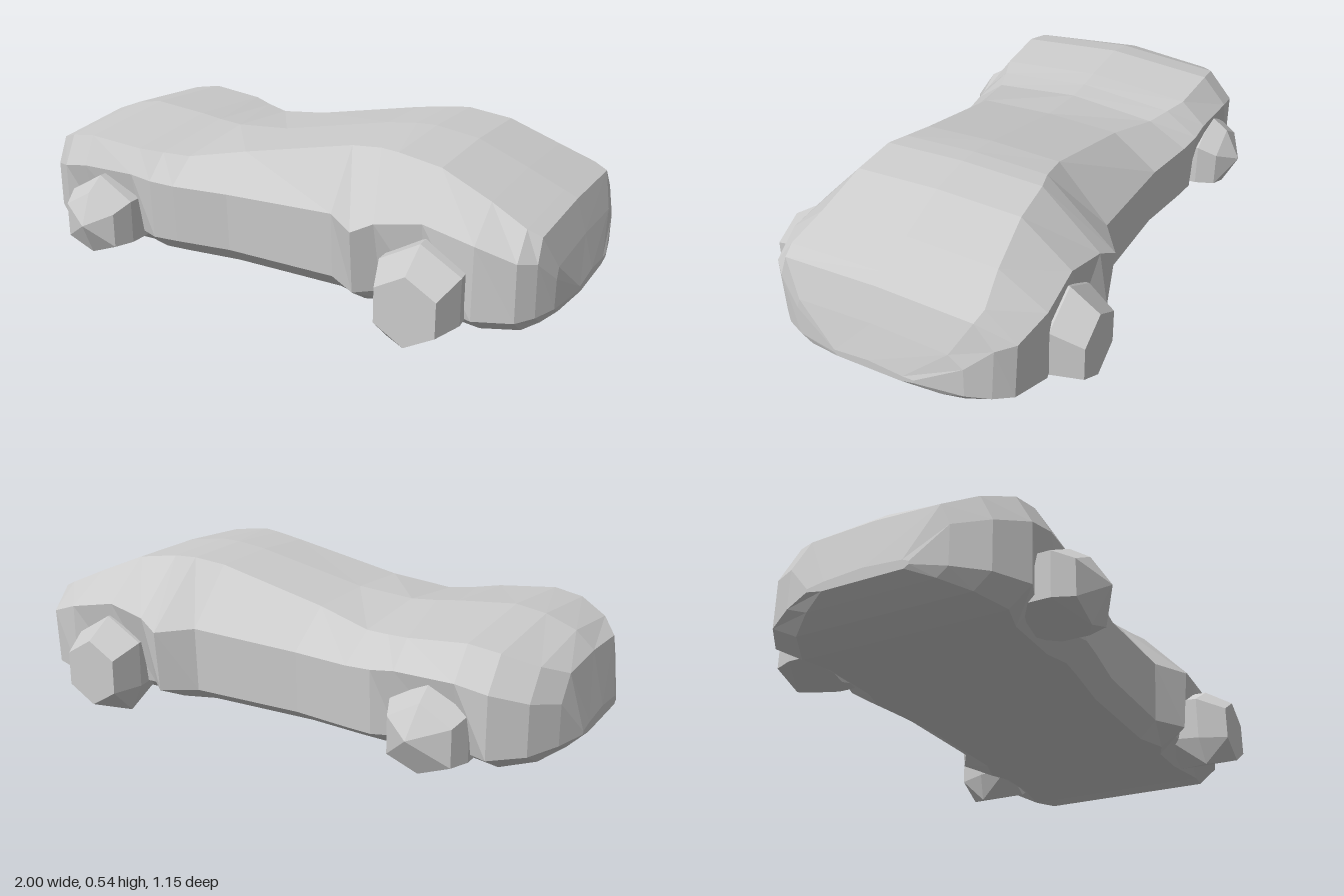
import * as THREE from 'three';
import { ConvexGeometry } from 'three/addons/geometries/ConvexGeometry.js';

const material = new THREE.MeshStandardMaterial({ color: 0xcccccc, flatShading: true });

// Body stations: x, sill half width, belt half width, belt height,
// shoulder half width, top height
const STATIONS = [
  [-1.0, 0.17, 0.17, 0.14, 0.13, 0.16],
  [-0.96, 0.27, 0.27, 0.25, 0.22, 0.335],
  [-0.9, 0.37, 0.37, 0.27, 0.31, 0.39],
  [-0.8, 0.44, 0.44, 0.3, 0.37, 0.43],
  [-0.7, 0.4, 0.45, 0.32, 0.38, 0.447],
  [-0.5, 0.4, 0.44, 0.32, 0.37, 0.43],
  [-0.42, 0.43, 0.44, 0.31, 0.34, 0.42],
  [-0.33, 0.42, 0.43, 0.305, 0.31, 0.413],
  [-0.13, 0.39, 0.4, 0.305, 0.26, 0.43],
  [0.27, 0.39, 0.4, 0.32, 0.245, 0.517],
  [0.38, 0.46, 0.48, 0.31, 0.26, 0.532],
  [0.45, 0.4, 0.46, 0.345, 0.28, 0.535],
  [0.6, 0.4, 0.44, 0.37, 0.29, 0.515],
  [0.77, 0.45, 0.45, 0.34, 0.31, 0.447],
  [0.89, 0.41, 0.42, 0.3, 0.335, 0.395],
  [0.935, 0.36, 0.37, 0.29, 0.325, 0.375],
  [0.97, 0.29, 0.29, 0.22, 0.26, 0.265],
  [1.0, 0.14, 0.14, 0.14, 0.12, 0.15],
];

// Full ring of a station: the underside curls up towards both tips, the top is
// rounder at the low end, and sill and belt sit further out on the back side
function ring([x, sillW, beltW, beltY, topW, topY]) {
  const tip = Math.max(0, (Math.abs(x) - 0.8) / 0.2) ** 2;
  const floorY = 0.04 + 0.08 * tip;
  const sillY = 0.1 + 0.03 * tip;
  const floorW = Math.min(sillW * 0.8, 0.35);
  const topEdge = topY - (x < -0.3 && x > -0.95 ? 0.03 : 0.01);
  const shift = -0.018;
  const v = (y, z) => new THREE.Vector3(x, y, z);
  return [
    v(floorY, 0), v(floorY, floorW), v(sillY, sillW + shift), v(beltY, beltW + shift),
    v(topEdge, topW), v(topY, 0), v(topEdge, -topW),
    v(beltY, -beltW + shift), v(sillY, -sillW + shift), v(floorY, -floorW),
  ];
}

function loft(rings) {
  const pts = [];
  const n = rings[0].length;
  for (let i = 0; i < rings.length - 1; i++) {
    for (let j = 0; j < n; j++) {
      const k = (j + 1) % n;
      const a = rings[i][j], b = rings[i][k], c = rings[i + 1][j], d = rings[i + 1][k];
      pts.push(a, c, b, b, c, d);
    }
  }
  // Close both ends
  const first = rings[0], last = rings[rings.length - 1];
  for (let j = 1; j < n - 1; j++) {
    pts.push(first[0], first[j], first[j + 1]);
    pts.push(last[0], last[j + 1], last[j]);
  }
  const geometry = new THREE.BufferGeometry().setFromPoints(pts);
  geometry.computeVertexNormals();
  return geometry;
}

// Faceted wheel lump: stacked hexagons [z, centre height, radius] with a flat foot
// and one extra point
function wheel({ x, foot, layers, extra }, side) {
  const pts = [new THREE.Vector3(extra[0], extra[1], extra[2] * side)];
  for (const [z, y, radius] of layers) {
    for (let i = 0; i < 6; i++) {
      const angle = Math.PI / 2 + (i / 6) * Math.PI * 2;
      const py = Math.max(foot, y + radius * Math.sin(angle));
      pts.push(new THREE.Vector3(x + radius * Math.cos(angle), py, z * side));
    }
  }
  return new ConvexGeometry(pts);
}

// The low end has a pointed hub, the high end a flat face and a toe at the ground
const LOW_END = {
  x: -0.615, foot: 0.04,
  layers: [[0.34, 0.155, 0.15], [0.45, 0.155, 0.15], [0.515, 0.14, 0.12]],
  extra: [-0.6, 0.16, 0.575],
};
const HIGH_END = {
  x: 0.615, foot: 0.03,
  layers: [[0.34, 0.18, 0.15], [0.46, 0.17, 0.155], [0.56, 0.145, 0.115]],
  extra: [0.52, 0, 0.47],
};

export function createModel() {
  const group = new THREE.Group();
  group.name = 'car';
  const add = (geometry, name) => {
    const mesh = new THREE.Mesh(geometry, material);
    mesh.name = name;
    group.add(mesh);
  };

  add(loft(STATIONS.map(ring)), 'body');
  for (const [side, label] of [[1, 'Front'], [-1, 'Back']]) {
    add(wheel(LOW_END, side), 'rightWheel' + label);
    add(wheel(HIGH_END, side), 'leftWheel' + label);
  }
  return group;
}
